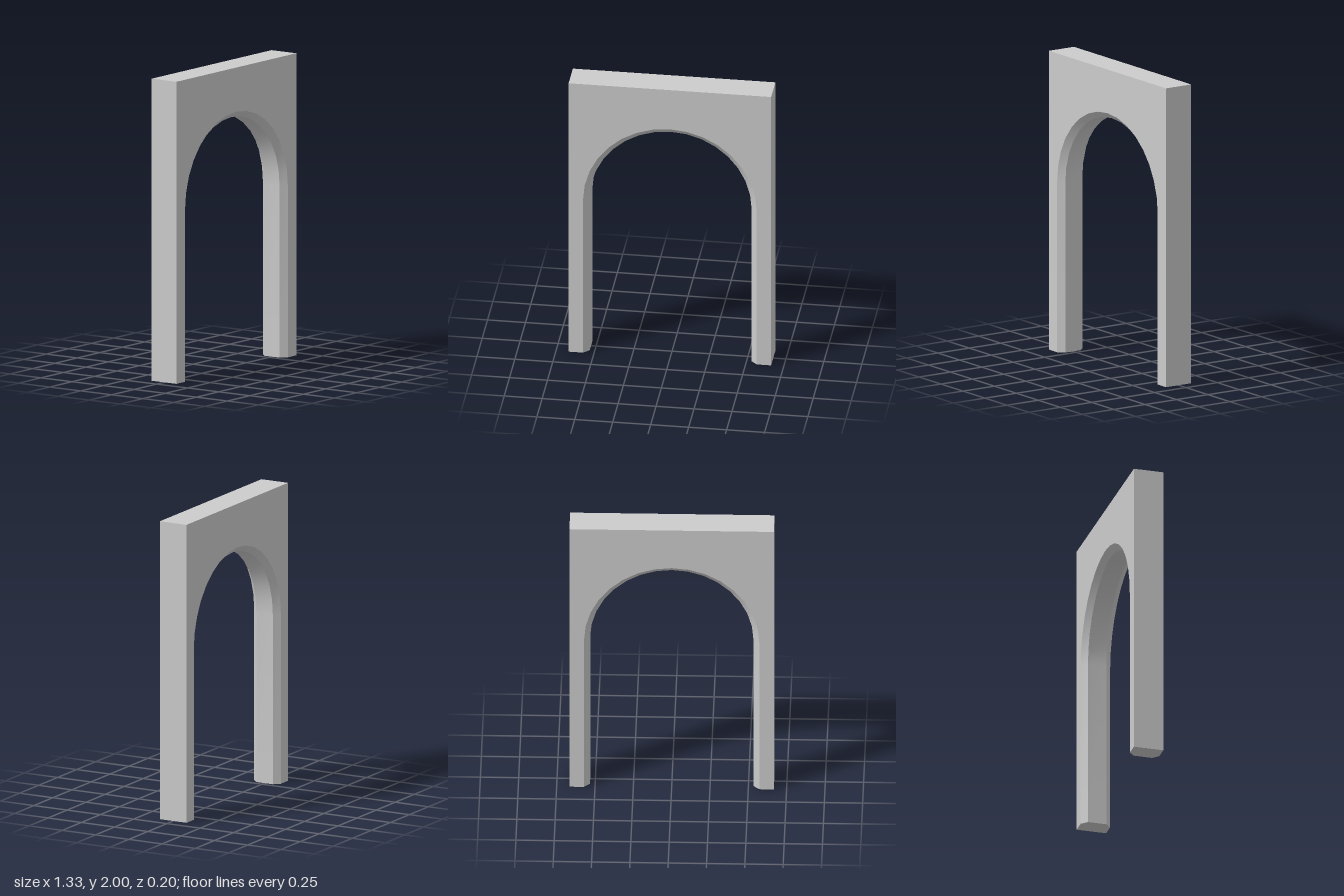
import * as THREE from 'three';
import { toCreasedNormals } from 'three/addons/utils/BufferGeometryUtils.js';

const HALF_W = 0.667, HEIGHT = 2, HALF_D = 0.1;
const SPRING = 1.136;            // height where the arch starts
const R_FACE = 0.572, R_IN = 0.533, CHAMFER = 0.038;
const SEGMENTS = 16;

// One six-point cross-section: chamfered opening edge, then the outer edge.
function section(angle, atGround) {
  const c = Math.cos(angle), s = Math.sin(angle);
  const m = Math.max(Math.abs(c), Math.abs(s));
  const inner = (r, z) => [c * r, atGround ? 0 : SPRING + s * r, z];
  const outer = (z) => [HALF_W * c / m, atGround ? 0 : SPRING + (HEIGHT - SPRING) * s / m, z];
  return [
    inner(R_FACE, HALF_D), inner(R_IN, HALF_D - CHAMFER),
    inner(R_IN, CHAMFER - HALF_D), inner(R_FACE, -HALF_D),
    outer(-HALF_D), outer(HALF_D),
  ];
}

function archGeometry() {
  // Sections run from the left foot, over the arch, to the right foot
  const sections = [section(0, true)];
  for (let i = 0; i <= SEGMENTS; i++) sections.push(section(Math.PI * i / SEGMENTS, false));
  sections.push(section(Math.PI, true));

  const n = 6, last = (sections.length - 1) * n, index = [];
  for (let i = 0; i < last; i += n) {
    for (let k = 0; k < n; k++) {
      const a = i + k, b = i + (k + 1) % n;
      index.push(b, a, a + n, b, a + n, b + n);
    }
  }
  // Undersides of the two feet
  for (let k = 1; k < n - 1; k++) {
    index.push(0, k, k + 1, last, last + k + 1, last + k);
  }

  const geometry = new THREE.BufferGeometry();
  geometry.setAttribute('position', new THREE.Float32BufferAttribute(sections.flat(2), 3));
  geometry.setIndex(index);
  return toCreasedNormals(geometry, 0.5);
}

export function createModel() {
  const model = new THREE.Group();
  model.name = 'archway';
  const wall = new THREE.Mesh(archGeometry(), new THREE.MeshStandardMaterial({ color: 0xcccccc }));
  wall.name = 'archedWall';
  model.add(wall);
  return model;
}
